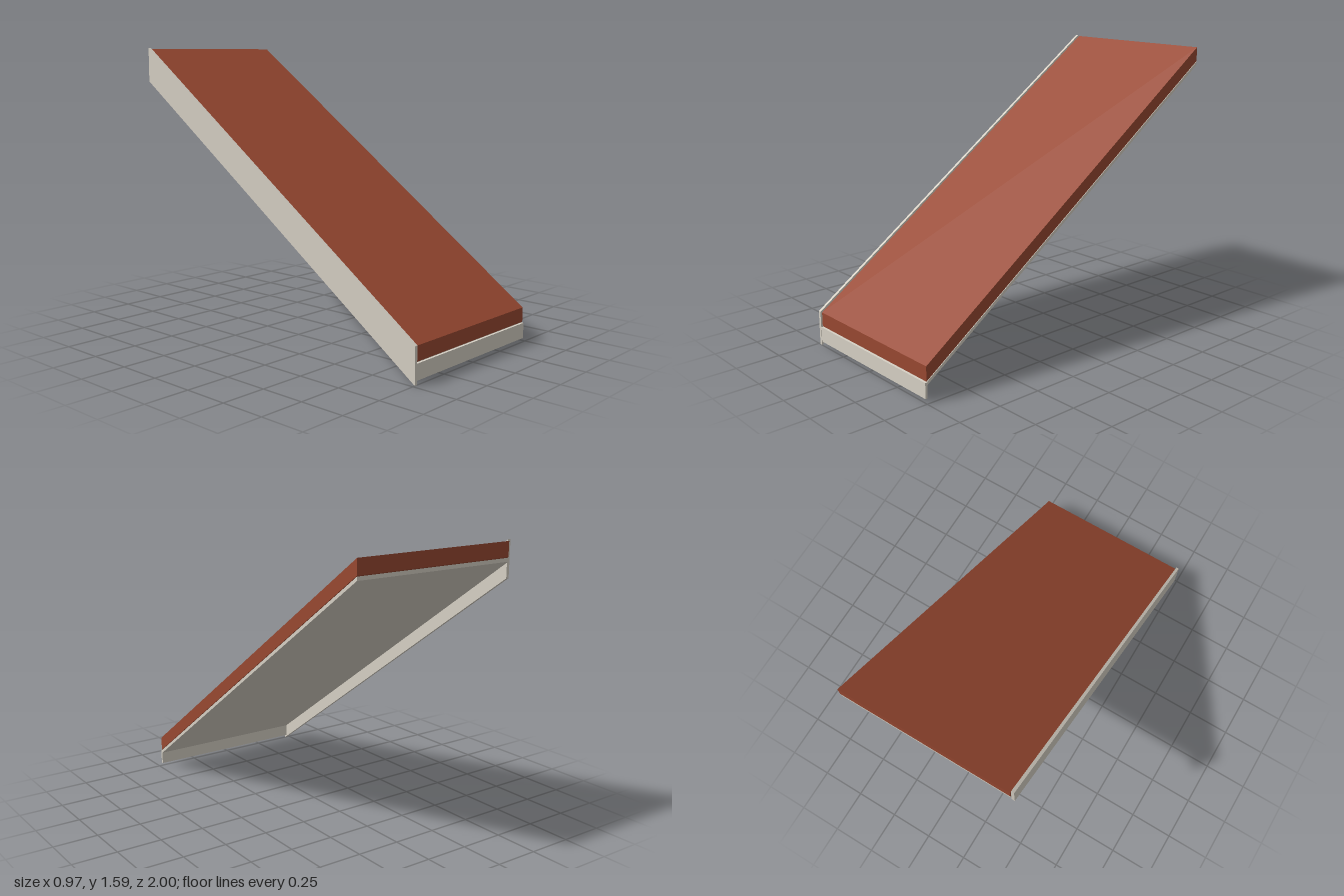
import * as THREE from 'three';

const SLOPE = Math.tan(THREE.MathUtils.degToRad(35));

const named = (name, color) => {
  const m = new THREE.MeshStandardMaterial({ color });
  m.name = name;
  return m;
};

// Plumb-cut board following the pitch: y0..y1 are its heights at the front end (z1)
function board(name, material, [x0, x1], [y0, y1], [z0, z1], slope = SLOPE) {
  const geo = new THREE.BoxGeometry(x1 - x0, y1 - y0, z1 - z0);
  geo.translate((x0 + x1) / 2, (y0 + y1) / 2, (z0 + z1) / 2);
  const p = geo.attributes.position;
  for (let i = 0; i < p.count; i++) p.setY(i, p.getY(i) + (z1 - p.getZ(i)) * slope);
  geo.computeVertexNormals();
  const mesh = new THREE.Mesh(geo, material);
  mesh.name = name;
  return mesh;
}

export function createModel() {
  const tile = named('terracotta', 0x984831);
  const trim = named('cream trim', 0xd6d0c4);
  const roof = new THREE.Group();
  roof.name = 'roofSlope';
  const width = [-0.469, 0.484];

  roof.add(
    // Thick tile layer over a thin deck
    board('tileLayer', tile, width, [0.11, 0.19], [-1, 0.99]),
    board('deck', trim, width, [0.09, 0.11], [-1, 0.985]),
    // Level fascia across the eave
    board('eaveFascia', trim, width, [0.02, 0.105], [0.985, 0.998], 0),
    // Sloping verge board on one side only
    board('vergeBoard', trim, [-0.486, -0.469], [0, 0.196], [-0.992, 1])
  );
  return roof;
}
